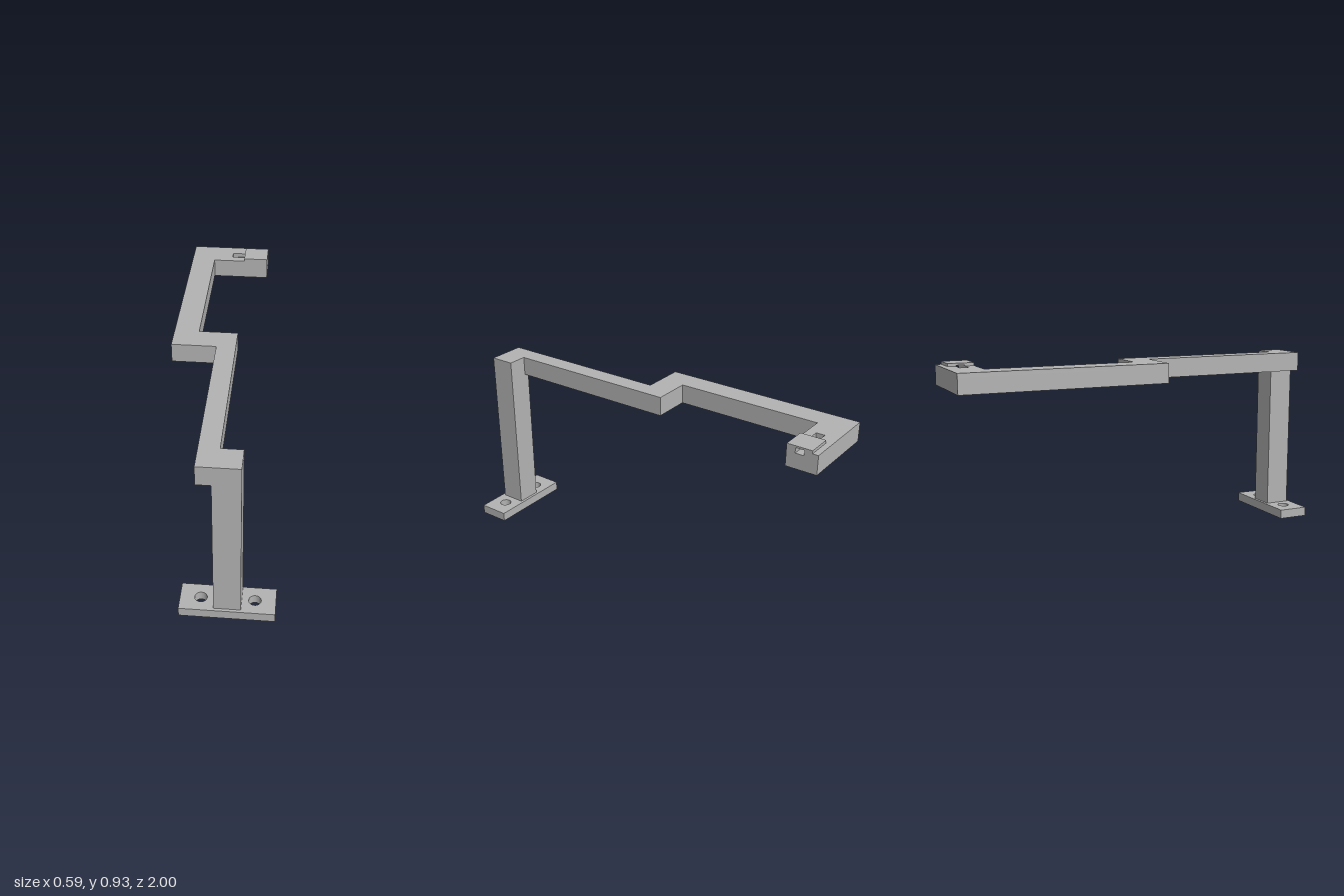
import * as THREE from 'three';

// Builds a shape from [x, z] plan points
function planShape(points) {
  return new THREE.Shape(points.map(([x, z]) => new THREE.Vector2(x, -z)));
}

// Extrudes a plan shape upward from y0 to y1
function slab(shape, y0, y1) {
  const geo = new THREE.ExtrudeGeometry(shape, { depth: y1 - y0, bevelEnabled: false, curveSegments: 24 });
  geo.rotateX(-Math.PI / 2);
  geo.translate(0, y0, 0);
  return geo;
}

export function createModel() {
  const group = new THREE.Group();
  const grey = new THREE.MeshStandardMaterial({ color: 0xb3b3b3 });
  grey.name = 'grey';
  const add = (name, geo) => {
    const mesh = new THREE.Mesh(geo, grey);
    mesh.name = name;
    group.add(mesh);
  };

  const armBottom = 0.815, armTop = 0.915, slotFloor = 0.893, slotRoof = 0.92;
  const slotBack = -0.93, slotFront = -0.885, slotEnd = -0.07;

  // Foot plate with two screw holes
  const foot = planShape([[-0.165, 1], [0.293, 1], [0.293, 0.84], [-0.165, 0.84]]);
  for (const x of [-0.065, 0.193]) {
    foot.holes.push(new THREE.Path().absarc(x, -0.92, 0.03, 0, Math.PI * 2, true));
  }
  add('footPlate', slab(foot, 0, 0.048));

  // Upright post
  const post = new THREE.BoxGeometry(0.13, armBottom - 0.048, 0.13);
  post.translate(0.065, (armBottom + 0.048) / 2, 0.92);
  add('post', post);

  // Cranked arm: plain lower layer, upper layer with the slot cut in from the end
  const start = [[-0.07, 0.985], [0.13, 0.985], [0.13, 0.855], [0.027, 0.855], [0.027, -0.07],
    [-0.17, -0.07], [-0.17, -0.84], [0.13, -0.84]];
  const slot = [[0.13, slotFront], [slotEnd, slotFront], [slotEnd, slotBack], [0.13, slotBack]];
  const finish = [[0.13, -1], [-0.295, -1], [-0.295, 0.063], [-0.07, 0.063]];
  add('armLower', slab(planShape([...start, ...finish]), armBottom, slotFloor));
  add('armUpper', slab(planShape([...start, ...slot, ...finish]), slotFloor, armTop));

  // Cap over the slot, grooved underneath; profile drawn in (-z, y) and run along x
  const profile = new THREE.Shape([
    [0.84, armTop], [-slotFront, armTop], [-slotFront, slotRoof], [-slotBack, slotRoof],
    [-slotBack, armTop], [0.97, armTop], [0.97, 0.93], [0.84, 0.93],
  ].map(([u, v]) => new THREE.Vector2(u, v)));
  const cap = new THREE.ExtrudeGeometry(profile, { depth: 0.13, bevelEnabled: false });
  cap.rotateY(Math.PI / 2);
  add('slotCap', cap);

  return group;
}
